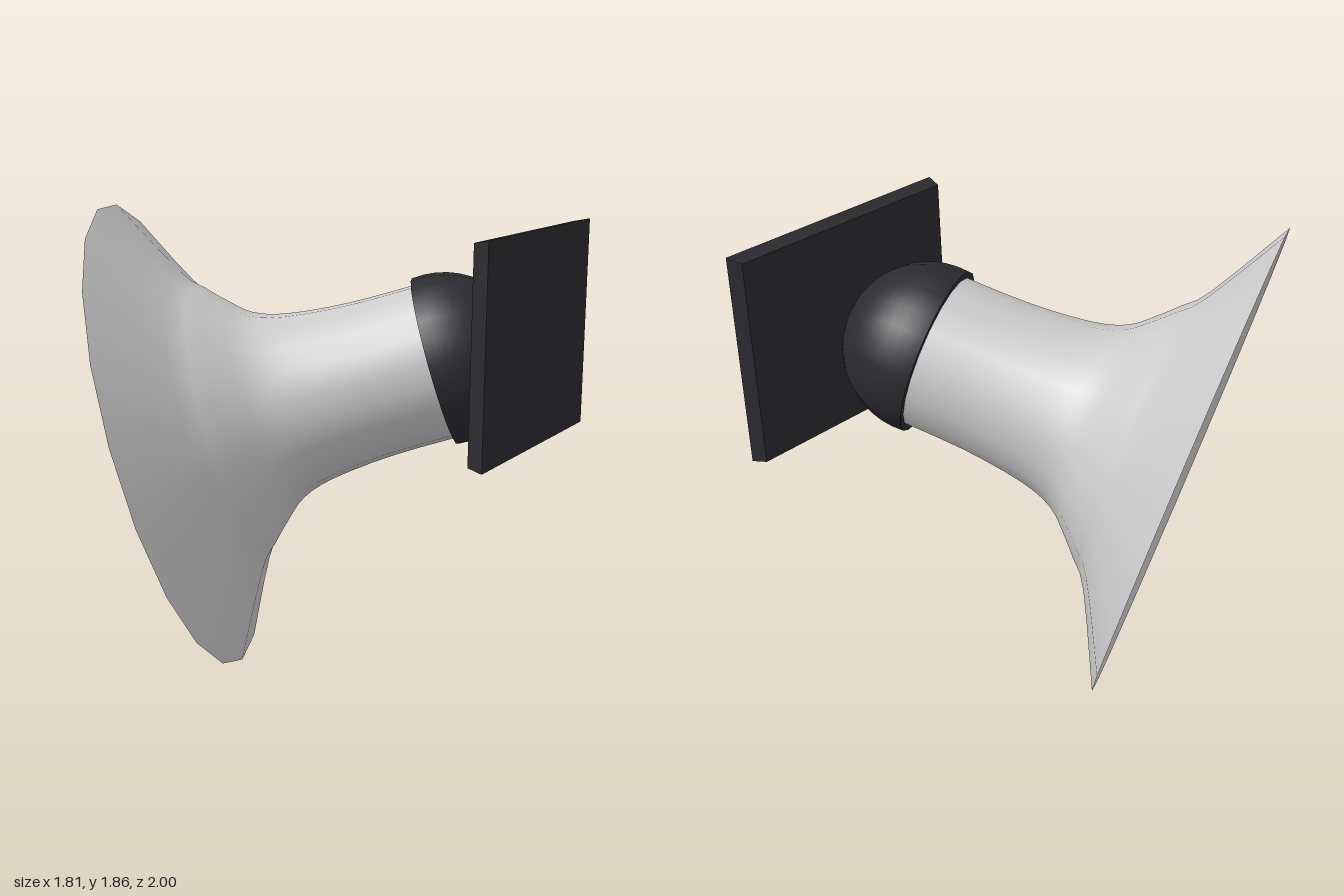
import * as THREE from 'three';

const mat = (color, side = THREE.FrontSide) => new THREE.MeshStandardMaterial({ color, side });

export function createModel() {
  const model = new THREE.Group();
  const dark = mat(0x2b2a2e, THREE.DoubleSide);
  const add = (parent, name, geometry, material) => {
    const mesh = new THREE.Mesh(geometry, material);
    mesh.name = name;
    parent.add(mesh);
    return mesh;
  };

  // Lamp head: local +y points from the ball joint out through the mouth
  const head = new THREE.Group();
  head.name = 'lampHead';
  const axis = new THREE.Vector3(-0.88, -0.297, 0.372).normalize();
  const up = new THREE.Vector3(-0.214, 0.933, 0.24);
  up.addScaledVector(axis, -up.dot(axis)).normalize();
  const side = new THREE.Vector3().crossVectors(axis, up);
  head.quaternion.setFromRotationMatrix(new THREE.Matrix4().makeBasis(side, axis, up));
  head.position.set(0.56, 1.275, -0.33);
  model.add(head);

  // Flared shade, as [radius, distance along the axis]
  const profile = new THREE.SplineCurve([
    [0.318, 0], [0.322, 0.3], [0.35, 0.56], [0.395, 0.7],
    [0.47, 0.79], [0.545, 0.865], [0.64, 0.95], [0.982, 1.136],
  ].map(([r, y]) => new THREE.Vector2(r, y)));
  add(head, 'shade', new THREE.LatheGeometry(profile.getPoints(21), 20),
    mat(0xcccccc, THREE.DoubleSide));

  // Ball joint: a little more than half a sphere, with a lip around the shade
  const R = 0.347, lip = 0.035;
  const start = Math.acos(lip / R);
  add(head, 'ballJoint',
    new THREE.SphereGeometry(R, 24, 12, 0, Math.PI * 2, start, Math.PI - start), dark);
  const ring = add(head, 'ballLip', new THREE.RingGeometry(0.3, R * Math.sin(start), 24), dark);
  ring.rotation.x = -Math.PI / 2;
  ring.position.y = lip;

  // Bulb and its socket inside the neck
  add(head, 'bulb', new THREE.SphereGeometry(0.277, 24, 16), mat(0x5f98b0)).position.y = 0.55;
  add(head, 'socket', new THREE.CylinderGeometry(0.12, 0.12, 0.5, 16), dark).position.y = 0.06;

  // Wall plate, slightly smaller on the face toward the lamp
  const plateGeo = new THREE.BoxGeometry(0.066, 0.872, 1.06);
  const p = plateGeo.attributes.position;
  for (let i = 0; i < p.count; i++) {
    if (p.getX(i) < 0) {
      p.setY(i, p.getY(i) * 0.97);
      p.setZ(i, p.getZ(i) * 0.966);
    }
  }
  plateGeo.computeVertexNormals();
  add(model, 'wallPlate', plateGeo, dark).position.set(0.874, 1.365, -0.47);

  return model;
}
